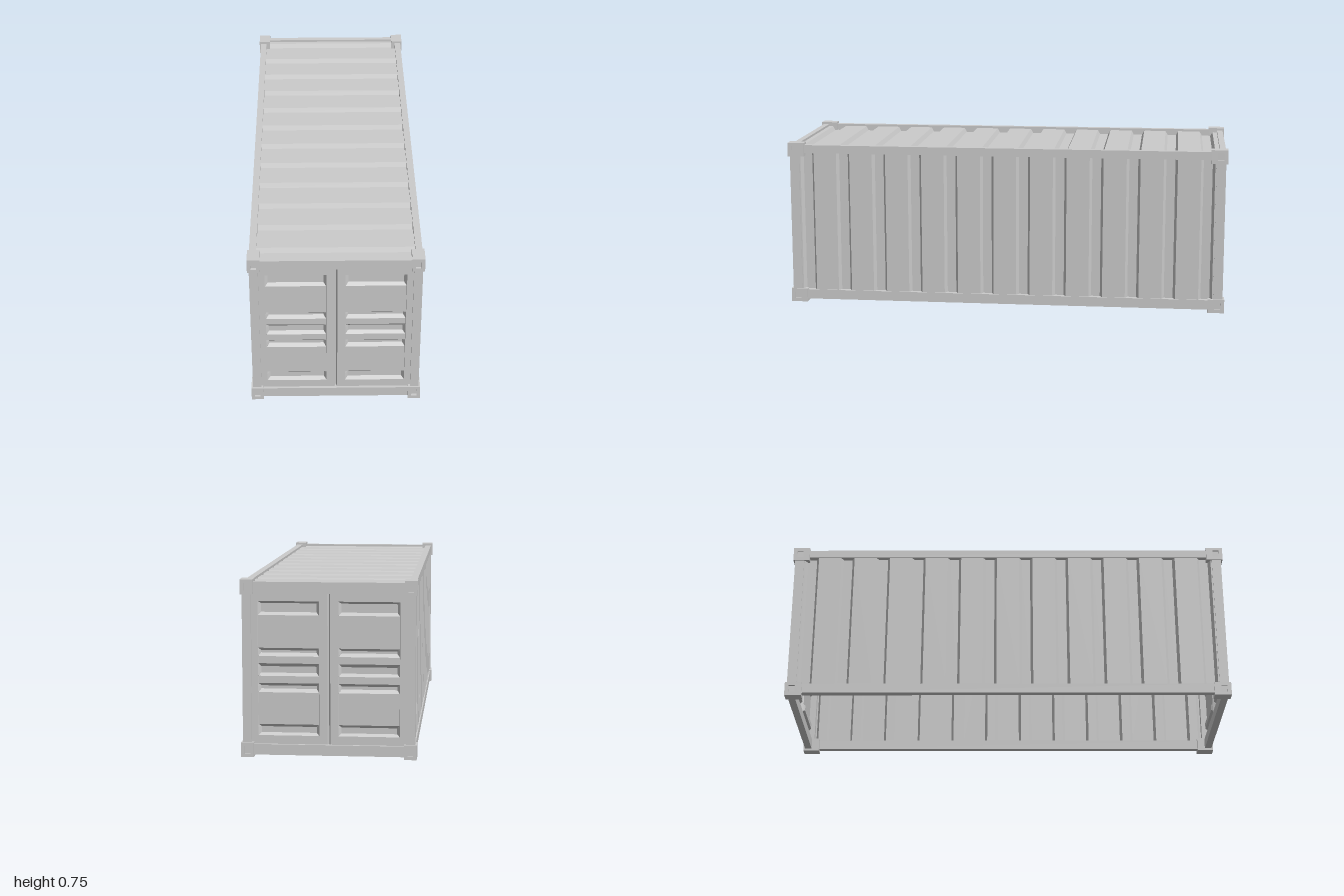
import * as THREE from 'three';

const material = new THREE.MeshStandardMaterial({ color: 0xcccccc, flatShading: true, side: THREE.DoubleSide });

function add(parent, name, geometry, x = 0, y = 0, z = 0) {
  const mesh = new THREE.Mesh(geometry, material);
  mesh.name = name;
  mesh.position.set(x, y, z);
  parent.add(mesh);
  return mesh;
}

// Box given by its limits on each axis
function block(parent, name, [x0, x1], [y0, y1], [z0, z1]) {
  return add(parent, name, new THREE.BoxGeometry(x1 - x0, y1 - y0, z1 - z0),
    (x0 + x1) / 2, (y0 + y1) / 2, (z0 + z1) / 2);
}

// Faceted sheet through rows of points
function sheet(rows) {
  const pos = [];
  for (let i = 0; i < rows.length - 1; i++) {
    for (let j = 0; j < rows[i].length - 1; j++) {
      const a = rows[i][j], b = rows[i][j + 1], c = rows[i + 1][j + 1], d = rows[i + 1][j];
      pos.push(...a, ...b, ...c, ...a, ...c, ...d);
    }
  }
  const g = new THREE.BufferGeometry();
  g.setAttribute('position', new THREE.Float32BufferAttribute(pos, 3));
  g.computeVertexNormals();
  return g;
}

// Rectangle with rectangular holes [x0, x1, y0, y1]
function rectPath(path, [x0, x1, y0, y1]) {
  path.moveTo(x0, y0);
  path.lineTo(x1, y0);
  path.lineTo(x1, y1);
  path.lineTo(x0, y1);
  path.closePath();
  return path;
}
function plate(outer, hole) {
  const shape = rectPath(new THREE.Shape(), outer);
  shape.holes.push(rectPath(new THREE.Path(), hole));
  return shape;
}

// Corrugation: [z, depth] pairs with twelve pressed grooves
function corrugation(end, depth) {
  const p = [[-end, 0]];
  for (let i = 0; i < 12; i++) {
    const z = (i - 5.5) * 0.166;
    p.push([z - 0.031, 0], [z - 0.02, depth], [z + 0.02, depth], [z + 0.031, 0]);
  }
  p.push([end, 0]);
  return p;
}

// Corner fitting with a pocket in each of its two outer faces
function cornerFitting(parent, sx, y, sz) {
  const w = 0.053, h = 0.062, d = 0.075, t = 0.012;
  const g = new THREE.Group();
  g.name = 'cornerFitting';
  g.position.set(sx * (0.367 - w / 2), y, sz * (1 - d / 2));
  parent.add(g);
  const extrude = (shape) =>
    new THREE.ExtrudeGeometry(shape, { depth: t, bevelEnabled: false }).translate(0, 0, -t / 2);
  add(g, 'cornerCore', new THREE.BoxGeometry(w - t, h, d - t), -sx * t / 2, 0, -sz * t / 2);
  add(g, 'cornerEndPlate', extrude(plate([-w / 2, w / 2, -h / 2, h / 2], [-0.012, 0.012, -0.016, 0.016])),
    0, 0, sz * (d - t) / 2);
  const l = (d - t) / 2, o = -sz * 0.012;
  add(g, 'cornerSidePlate', extrude(plate([-l, l, -h / 2, h / 2], [o - 0.014, o + 0.014, -0.016, 0.016])),
    sx * (w - t) / 2, 0, -sz * t / 2).rotation.y = Math.PI / 2;
}

// Pressed door panel: [y, depth] profile with slots, bevelled at the sides
function doorPanel(x0, x1) {
  const flat = 0.003, deep = 0.016;
  const slots = [[0.091, 0.101, 0.126, 0.138], [0.273, 0.287, 0.3, 0.312], [0.342, 0.354, 0.381, 0.395],
    [0.425, 0.439, 0.449, 0.46], [0.597, 0.609, 0.646, 0.656]];
  const profile = [];
  slots.forEach(([a, b, c, d], i) => profile.push(
    [a, i === 0 ? 0 : flat], [b, deep], [c, deep], [d, i === slots.length - 1 ? 0 : flat]));
  return sheet(profile.map(([y, k]) => {
    const inset = k === deep ? 0.012 : k * 0.4;
    return [[x0, y, 0], [x0 + inset, y, -k], [x1 - inset, y, -k], [x1, y, 0]];
  }));
}

// One end: posts, cross rails and a pair of doors
function createEnd() {
  const end = new THREE.Group();
  end.name = 'doorEnd';
  for (const s of [-1, 1]) {
    const post = block(end, 'cornerPost', [0.323, 0.36], [0.05, 0.7], [0.95, 0.992]);
    post.position.x *= s;
    const [x0, x1] = s > 0 ? [0.04, 0.296] : [-0.296, -0.04];
    const leaf = s > 0 ? [0.006, 0.325, 0.05, 0.69] : [-0.325, -0.006, 0.05, 0.69];
    add(end, 'doorLeaf', new THREE.ShapeGeometry(plate(leaf, [x0, x1, 0.091, 0.656])), 0, 0, 0.98);
    add(end, 'doorPanel', doorPanel(x0, x1), 0, 0, 0.98);
  }
  // V-shaped seam between the doors
  add(end, 'doorSeam', sheet([0.05, 0.69].map((y) => [[-0.006, y, 0.98], [0, y, 0.965], [0.006, y, 0.98]])));
  block(end, 'doorHeader', [-0.325, 0.325], [0.688, 0.698], [0.965, 0.982]);
  block(end, 'topEndRail', [-0.33, 0.33], [0.694, 0.737], [0.965, 0.992]);
  block(end, 'bottomEndRail', [-0.33, 0.33], [0.01, 0.055], [0.96, 0.992]);
  return end;
}

// One long side: rails and corrugated wall
function createSide() {
  const side = new THREE.Group();
  side.name = 'longSide';
  block(side, 'topSideRail', [0.331, 0.36], [0.7, 0.737], [-0.985, 0.985]);
  block(side, 'bottomSideRail', [0.331, 0.36], [0.013, 0.057], [-0.985, 0.985]);
  add(side, 'sideWall', sheet(corrugation(0.975, 0.02).map(([z, k]) =>
    [[0.355 - k, 0.055, z], [0.355 - k, 0.702, z]])));
  return side;
}

export function createModel() {
  const model = new THREE.Group();
  model.name = 'shippingContainer';
  for (const turn of [0, Math.PI]) {
    for (const part of [createEnd(), createSide()]) {
      part.rotation.y = turn;
      model.add(part);
    }
  }
  // Corrugated roof sunk between the rails; the underside stays open
  add(model, 'roof', sheet(corrugation(0.97, 0.02).map(([z, k]) =>
    [[0.333, 0.727 - k, z], [-0.333, 0.727 - k, z]])));
  for (const sx of [-1, 1]) for (const sz of [-1, 1]) for (const y of [0.031, 0.716]) cornerFitting(model, sx, y, sz);
  return model;
}
